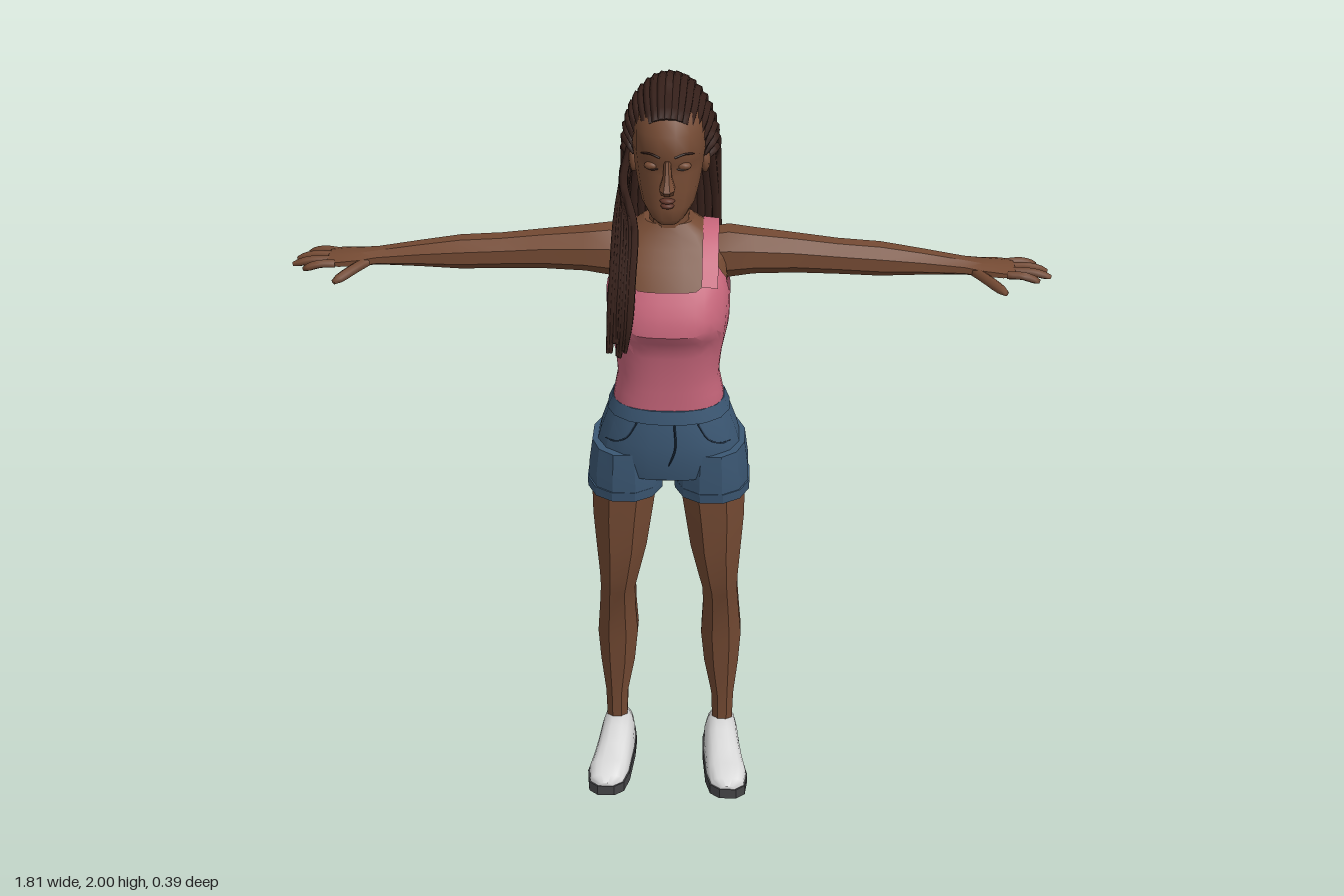
import * as THREE from 'three';
import { toCreasedNormals } from 'three/addons/utils/BufferGeometryUtils.js';

const mat = (name, color) => {
  const m = new THREE.MeshStandardMaterial({ color, side: THREE.DoubleSide });
  m.name = name;
  return m;
};
const V = (x, y, z) => new THREE.Vector3(x, y, z);
const spow = (v, e) => Math.sign(v) * Math.abs(v) ** e;

// Closed surface through rows of points; winding is turned outward by signed volume
function loft(rows, { caps = true, crease = 0.5, ring = true } = {}) {
  const n = rows[0].length;
  const all = rows.slice();
  if (caps) {
    const mid = (r) => r.reduce((a, p) => a.add(p), V(0, 0, 0)).divideScalar(n);
    all.unshift(Array(n).fill(mid(rows[0])));
    all.push(Array(n).fill(mid(rows[rows.length - 1])));
  }
  const tris = [];
  let volume = 0;
  const add = (a, b, c) => {
    if (a.equals(b) || b.equals(c) || a.equals(c)) return;
    volume += a.dot(b.clone().cross(c));
    tris.push([a, b, c]);
  };
  for (let i = 0; i < all.length - 1; i++) {
    for (let j = 0; j < (ring ? n : n - 1); j++) {
      const k = (j + 1) % n;
      add(all[i][j], all[i + 1][j], all[i + 1][k]);
      add(all[i][j], all[i + 1][k], all[i][k]);
    }
  }
  const pts = tris.flatMap((t) => (volume < 0 ? [t[0], t[2], t[1]] : t));
  const g = new THREE.BufferGeometry().setFromPoints(pts);
  g.computeVertexNormals();
  return toCreasedNormals(g, crease);
}

// Horizontal ring from [y, halfWidth, zFront, zBack]
const slice = ([y, rx, zf, zb], n, e = 0.85, grow = 0, cx = 0) =>
  Array.from({ length: n }, (_, i) => {
    const a = ((i + 0.5) / n) * Math.PI * 2;
    return V(cx + (rx + grow) * spow(Math.cos(a), e), y,
      (zf + zb) / 2 + ((zf - zb) / 2 + grow) * spow(Math.sin(a), e));
  });

// Interpolated [y, halfWidth, zFront, zBack] at any height
function sliceAt(rings, y) {
  let i = 0;
  while (i < rings.length - 2 && rings[i + 1][0] < y) i++;
  const t = (y - rings[i][0]) / (rings[i + 1][0] - rings[i][0]);
  return rings[i].map((v, k) => v + (rings[i + 1][k] - v) * t);
}

// Tapered strand along a smooth path
function strand(points, r, segs = 22, sides = 5, r2 = r * 0.5) {
  const curve = new THREE.CatmullRomCurve3(points);
  const f = curve.computeFrenetFrames(segs);
  const rows = [];
  for (let i = 0; i <= segs; i++) {
    const t = i / segs, p = curve.getPointAt(t);
    const rad = t < 0.8 ? r : r + (r2 - r) * ((t - 0.8) / 0.2);
    rows.push(Array.from({ length: sides }, (_, j) => {
      const a = (j / sides) * Math.PI * 2;
      return p.clone().addScaledVector(f.normals[i], rad * Math.cos(a))
        .addScaledVector(f.binormals[i], rad * Math.sin(a));
    }));
  }
  return loft(rows, { crease: 1.3 });
}

export function createModel() {
  const root = new THREE.Group();
  root.name = 'woman';
  const skin = mat('skin', 0x744a33), lipTone = mat('lips', 0x5f3529);
  const hair = mat('hair', 0x37211b), pink = mat('pinkTop', 0xc7667b);
  const denim = mat('denim', 0x3b5773), seam = mat('denimSeam', 0x263a50);
  const white = mat('shoeWhite', 0xd6d6d6), rubber = mat('soleGrey', 0x454547);
  const add = (name, geo, m) => {
    const mesh = new THREE.Mesh(geo, m);
    mesh.name = name;
    root.add(mesh);
    return mesh;
  };

  // Torso and neck
  const torso = [[1.16, .128, .132, -.058], [1.2, .13, .132, -.056], [1.27, .117, .135, -.042],
    [1.33, .122, .142, -.038], [1.38, .132, .152, -.05], [1.42, .139, .183, -.06], [1.46, .141, .178, -.073],
    [1.52, .141, .15, -.083], [1.57, .135, .108, -.083], [1.6, .122, .078, -.078],
    [1.625, .1, .058, -.068], [1.65, .06, .046, -.06]];
  add('torso', loft(torso.map((r) => slice(r, 16, 0.8))), skin);
  add('neck', loft([[1.58, .06, .055, -.06], [1.64, .048, .05, -.056], [1.74, .045, .055, -.055]]
    .map((r) => slice(r, 12))), skin);

  // Tank top: follows the torso up to a scooped edge
  const n = 40, topRows = [];
  for (let i = 0; i <= 14; i++) {
    topRows.push(Array.from({ length: n }, (_, j) => {
      const c = Math.abs(Math.cos(((j + 0.5) / n) * Math.PI * 2));
      const edge = 1.525 + 0.05 * Math.exp(-(((c - 0.72) / 0.16) ** 2)) - (c > 0.93 ? 0.03 : 0);
      const y = 1.175 + (edge - 1.175) * (i / 14);
      return slice(sliceAt(torso, y), n, 0.8, 0.006)[j];
    }));
  }
  add('tankTop', loft(topRows, { caps: false, crease: 0.6 }), pink);
  const strapPath = [[1.535, .138], [1.58, .103], [1.61, .07], [1.634, .03], [1.638, -.01],
    [1.63, -.05], [1.6, -.083], [1.53, -.095]];

  // Shorts
  const hips = [[.975, .1, .1, -.06], [1.0, .18, .138, -.092], [1.05, .184, .148, -.1],
    [1.1, .172, .15, -.1], [1.15, .155, .147, -.086], [1.2, .135, .139, -.064]];
  add('shortsSeat', loft(hips.map((r) => slice(r, 16))), denim);
  add('waistband', loft([1.165, 1.2].map((y) => slice(sliceAt(hips, y), 16, 0.85, 0.004))), denim);
  const hipZ = (x, y) => {
    const [, rx, zf, zb] = sliceAt(hips, y);
    const c = Math.min(1, (x / rx) ** (1 / 0.85));
    return (zf + zb) / 2 + ((zf - zb) / 2) * Math.sqrt(1 - c * c) ** 0.85;
  };
  add('flySeam', strand([V(.018, 1.165, .149), V(.02, 1.1, .152), V(.004, 1.05, .15)], .0025, 8, 4), seam);

  // Head
  const head = [[1.678, .026, .112, .05], [1.692, .042, .122, .02], [1.72, .062, .122, -.03],
    [1.76, .073, .122, -.08], [1.8, .08, .12, -.11], [1.825, .083, .119, -.12], [1.845, .085, .13, -.13],
    [1.89, .085, .118, -.135], [1.93, .076, .096, -.13], [1.965, .048, .05, -.09], [1.978, .015, .01, -.04]];
  add('head', loft(head.map((r) => slice(r, 16, 0.9)), { crease: 0.9 }), skin);
  add('nose', loft([[1.838, .008, .128, .1], [1.8, .011, .142, .1], [1.775, .019, .16, .1], [1.758, .015, .138, .1]]
    .map((r) => slice(r, 8, 1))), skin);
  [[1.742, .018], [1.73, .016]].forEach(([y, w], i) => {
    const lip = add(i ? 'lowerLip' : 'upperLip', new THREE.SphereGeometry(1, 10, 6), lipTone);
    lip.scale.set(w, .007, .014);
    lip.position.set(0, y, .12);
  });

  // Parts mirrored left and right
  const legRings = [[1.0, .11, .088, .022, .1], [.94, .112, .088, .022, .097], [.85, .118, .081, .022, .09],
    [.75, .122, .07, .022, .083], [.65, .13, .055, .018, .07], [.6, .135, .049, .012, .062],
    [.53, .138, .051, -.005, .055], [.42, .14, .058, -.027, .057], [.32, .142, .05, -.03, .05],
    [.2, .147, .033, -.033, .034], [.08, .148, .029, -.032, .03]];
  const armRings = [[.08, 1.555, .058, -.01, .06], [.14, 1.56, .063, -.012, .065], [.2, 1.561, .054, -.012, .06],
    [.3, 1.557, .047, -.012, .05], [.4, 1.55, .042, -.012, .045], [.5, 1.545, .04, -.012, .045],
    [.6, 1.538, .03, -.014, .038], [.7, 1.53, .02, -.015, .033], [.74, 1.528, .018, -.012, .042],
    [.79, 1.525, .015, -.014, .049], [.82, 1.523, .011, -.016, .045]];
  const fingers = [[.8, .024, .875, .036], [.81, .002, .905, .01], [.81, -.022, .9, -.022], [.8, -.046, .878, -.058]];
  const shoe = [[-.08, .145, .02, .075], [-.06, .145, .042, .108], [-.02, .145, .048, .118], [.03, .148, .05, .112],
    [.08, .155, .052, .086], [.13, .163, .055, .07], [.175, .167, .045, .056], [.193, .168, .02, .042]];
  for (const s of [1, -1]) {
    const side = s > 0 ? 'left' : 'right';
    add(side + 'Leg', loft(legRings.map(([y, cx, rx, cz, rz]) =>
      slice([y, rx, cz + rz, cz - rz], 8, 0.95, 0, s * cx))), skin);
    add(side + 'ShortsLeg', loft([[.945, .096, .135, -.085], [1.0, .095, .14, -.092], [1.07, .085, .14, -.09]]
      .map((r) => slice(r, 12, 0.9, 0, s * .108))), denim);
    add(side + 'Cuff', loft([[.93, .093, .13, -.08], [.958, .094, .134, -.085]]
      .map((r) => slice(r, 12, 0.9, 0.004, s * .11))), denim);
    add(side + 'PocketSeam', strand([[.075, 1.163], [.1, 1.12], [.13, 1.1], [.155, 1.095]]
      .map(([x, y]) => V(s * x, y, hipZ(x, y) + .001)), .0025, 10, 4), seam);
    add(side + 'Strap', loft(strapPath.map(([y, z]) => [V(s * .08, y, z), V(s * .118, y - .004, z)]),
      { caps: false, ring: false }), pink);

    add(side + 'Arm', loft(armRings.map(([x, cy, ry, cz, rz]) => Array.from({ length: 8 }, (_, i) => {
      const a = ((i + 0.5) / 8) * Math.PI * 2;
      return V(s * x, cy + ry * Math.sin(a), cz + rz * Math.cos(a));
    }))), skin);
    fingers.forEach(([x, z, tx, tz], i) => add(side + 'Finger' + (i + 1), strand(
      [V(s * x, 1.524, z), V(s * (x + tx) / 2, 1.525, (z + tz) / 2), V(s * tx, 1.514, tz)], .0105, 6, 6), skin));
    add(side + 'Thumb', strand([V(s * .725, 1.526, .012), V(s * .755, 1.52, .05), V(s * .792, 1.507, .09)],
      .013, 6, 6), skin);

    add(side + 'Shoe', loft(shoe.map(([z, cx, w, h]) => Array.from({ length: 10 }, (_, i) => {
      const a = (i / 9) * Math.PI;
      return V(s * (cx + w * spow(Math.cos(a), 0.7)), .028 + (h - .028) * Math.sin(a) ** 0.7, z);
    })), { crease: 0.9 }), white);
    add(side + 'Sole', loft(shoe.map(([z, cx, w]) => [[1, 0], [1, .032], [-1, .032], [-1, 0]]
      .map(([k, y]) => V(s * (cx + k * (w + .003)), y, z * 1.01)))), rubber);

    // Ear, eyelid and brow
    const ear = add(side + 'Ear', new THREE.SphereGeometry(1, 8, 6), skin);
    ear.scale.set(.012, .03, .018);
    ear.position.set(s * .083, 1.79, -.008);
    const lid = add(side + 'Eyelid', new THREE.SphereGeometry(1, 10, 6), skin);
    lid.scale.set(.018, .01, .012);
    lid.position.set(s * .036, 1.821, .105);
    add(side + 'Lashes', strand([V(s * .02, 1.817, .115), V(s * .036, 1.814, .114), V(s * .053, 1.818, .1)], .0018, 6, 4), hair);
    add(side + 'Brow', strand([V(s * .017, 1.848, .128), V(s * .037, 1.854, .12), V(s * .06, 1.848, .098)], .0025, 6, 4), hair);
  }

  // Hair: scalp cap, braids swept back over it, under layer, and braids over one shoulder
  const cap = add('scalp', new THREE.SphereGeometry(1, 20, 14), hair);
  cap.scale.set(.097, .125, .125);
  cap.position.set(0, 1.86, -.035);
  const wave = (i) => Math.sin(i * 12.9) * 0.5 + Math.sin(i * 4.7) * 0.5;
  const braids = 21;
  for (let i = 0; i < braids; i++) {
    const a = (i / (braids - 1) - 0.5) * Math.PI, c = Math.cos(a), x = Math.sin(a), w = wave(i);
    add('braid', strand([V(.078 * x, 1.79 + .135 * c, -.015 + .112 * c), V(.098 * x, 1.805 + .165 * c, -.025 + .085 * c),
      V(.105 * x, 1.805 + .182 * c, -.05 + .04 * c), V(.108 * x, 1.79 + .15 * c, -.08 - .04 * c),
      V(.108 * x, 1.77 + .06 * c, -.1 - .075 * c), V(.11 * x, 1.64, -.105 - .076 * c),
      V(.112 * x + .006 * w, 1.5, -.115 - .06 * c), V(.105 * x + .01 * w, 1.405 + .055 * w, -.125 - .035 * c)],
      .0115, 30), hair);
  }
  for (let i = 0; i < 13; i++) {
    const x = i / 6 - 1, w = wave(i + 30);
    add('underBraid', strand([V(.09 * x, 1.84, -.06), V(.1 * x, 1.74, -.085 - .02 * (1 - x * x)), V(.108 * x, 1.62, -.11),
      V(.1 * x + .006 * w, 1.47 + .05 * w, -.12)], .0115, 14), hair);
  }
  for (let i = 0; i < 8; i++) {
    const k = i / 7, w = wave(i + 60);
    add('shoulderBraid', strand([V(-.088, 1.85 - .03 * k, -.05 + .03 * k), V(-.108 + .008 * w, 1.74, -.04 + .04 * k),
      V(-.122 + .042 * k, 1.65, .01 + .045 * k), V(-.126 + .045 * k, 1.55, .125 + .02 * k),
      V(-.132 + .045 * k, 1.45, .165 + .018 * k), V(-.138 + .04 * k + .006 * w, 1.375 + .04 * w, .178 + .006 * w)],
      .0105, 20), hair);
  }
  return root;
}
